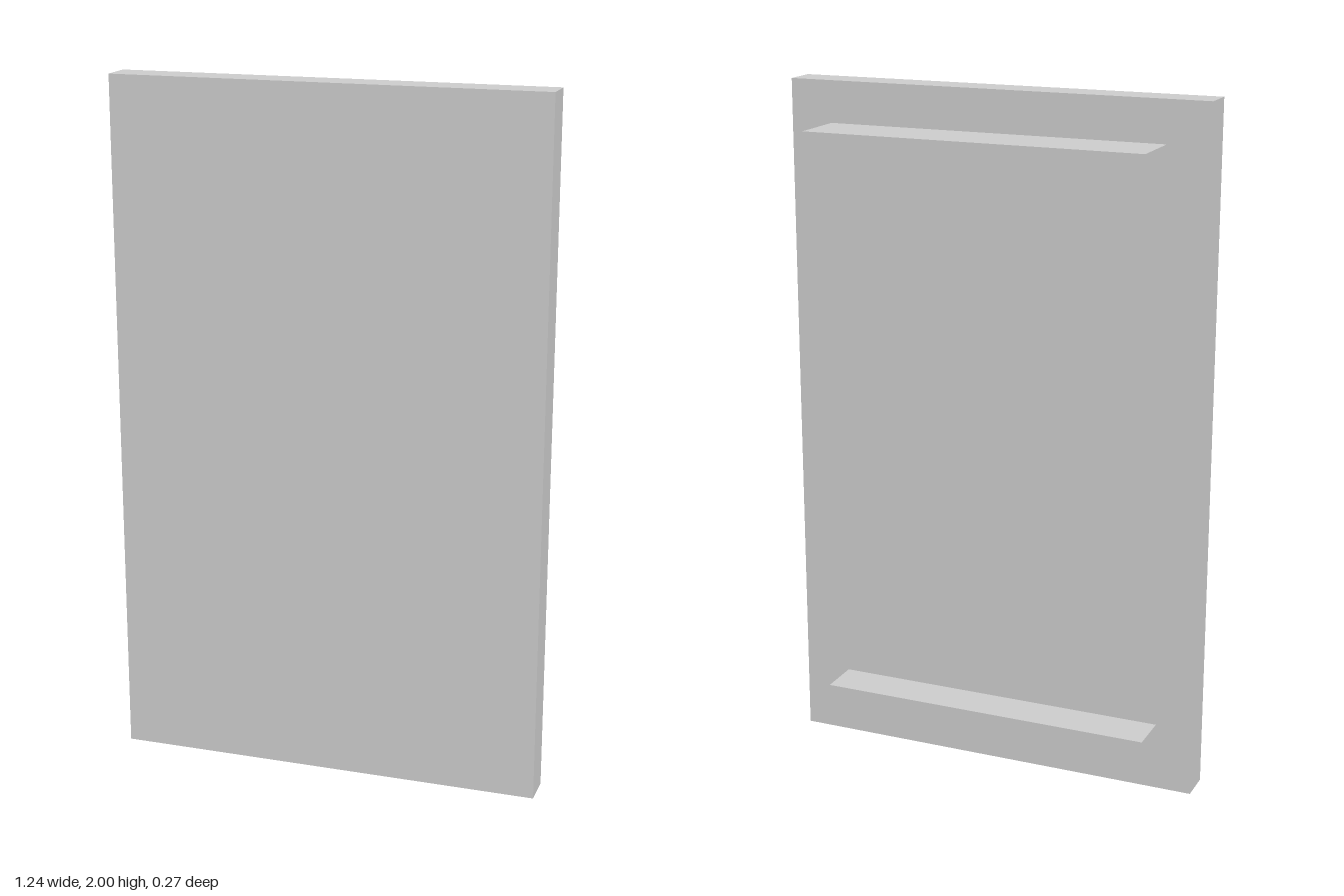
import * as THREE from 'three';

const material = new THREE.MeshStandardMaterial({ color: 0xcccccc, flatShading: true });

// Box given by its [min, max] extent along each axis
function slab(name, [x0, x1], [y0, y1], [z0, z1]) {
  const mesh = new THREE.Mesh(new THREE.BoxGeometry(x1 - x0, y1 - y0, z1 - z0), material);
  mesh.position.set((x0 + x1) / 2, (y0 + y1) / 2, (z0 + z1) / 2);
  mesh.name = name;
  return mesh;
}

export function createModel() {
  const group = new THREE.Group();
  group.name = 'panel';
  const back = 0.038; // rear face of the front panel

  group.add(
    // Flat front panel
    slab('frontPanel', [-0.622, 0.622], [0, 2], [back, 0.136]),
    // Large raised block on the rear
    slab('rearBlock', [-0.498, 0.498], [0.455, 1.88], [-0.136, back]),
    // Low strip beneath it, slightly off centre
    slab('rearStrip', [-0.513, 0.483], [0.08, 0.2], [-0.088, back]),
  );
  return group;
}
